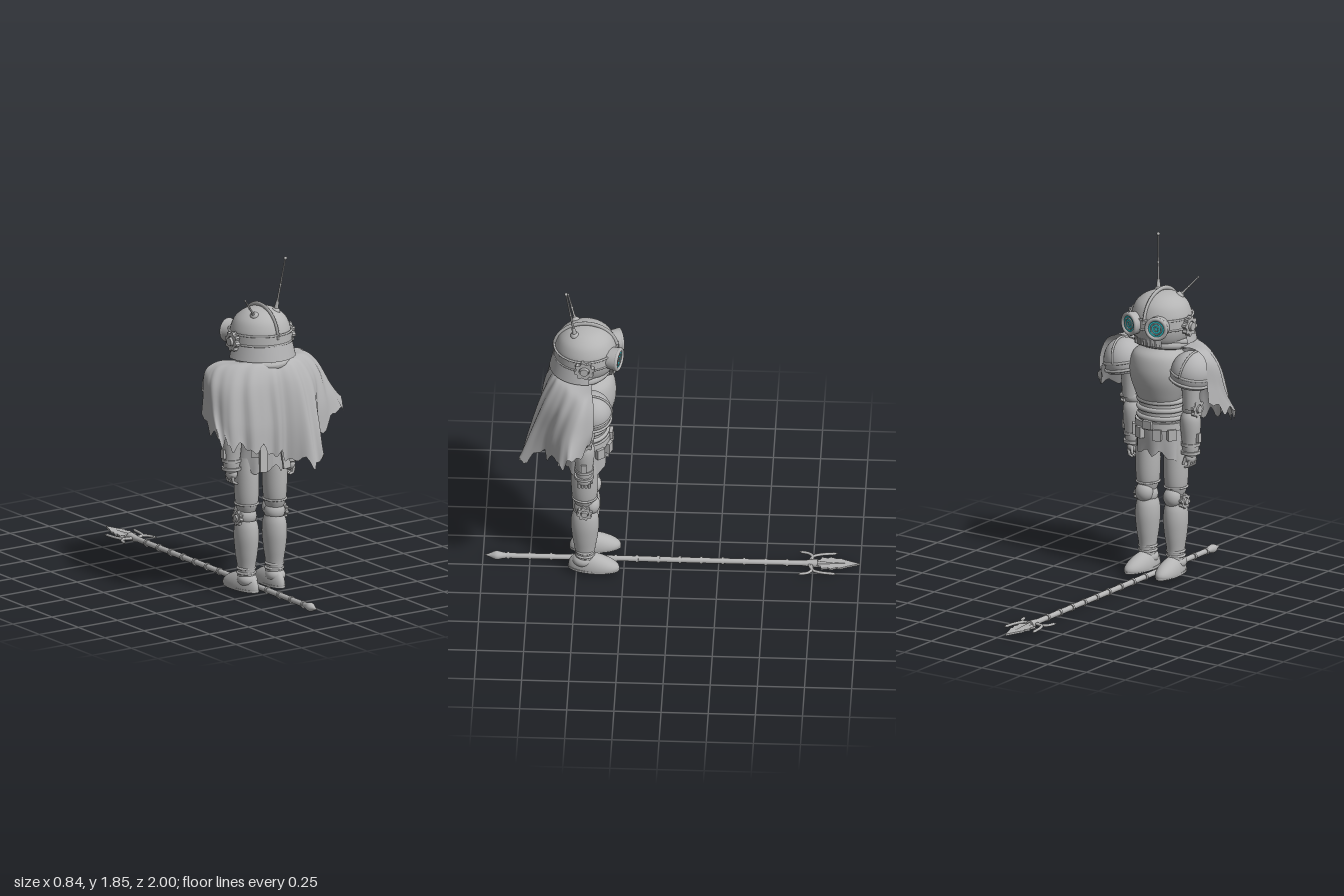
import * as THREE from 'three';

const metal = new THREE.MeshStandardMaterial({ color: 0xb4b4b4 });
metal.name = 'grey metal';
const cloth = new THREE.MeshStandardMaterial({ color: 0xb4b4b5, side: THREE.DoubleSide });
cloth.name = 'grey cloth';
const glow = new THREE.MeshStandardMaterial({ color: 0x2cb8c0 });
glow.name = 'cyan glow';

const V = (x, y, z) => new THREE.Vector3(x, y, z);

function add(parent, name, geo, pos = [0, 0, 0], rot = [0, 0, 0], scale = [1, 1, 1], mat = metal) {
  const m = new THREE.Mesh(geo, mat);
  m.name = name;
  m.position.set(...pos);
  m.rotation.set(...rot);
  m.scale.set(...scale);
  parent.add(m);
  return m;
}
function group(parent, name, pos = [0, 0, 0], rot = [0, 0, 0]) {
  const g = new THREE.Group();
  g.name = name;
  g.position.set(...pos);
  g.rotation.set(...rot);
  parent.add(g);
  return g;
}
// smooth turned form through [radius, height] pairs
function lathe(pts, seg = 36, start = 0, len = Math.PI * 2) {
  const c = new THREE.SplineCurve(pts.map(p => new THREE.Vector2(...p)));
  return new THREE.LatheGeometry(c.getPoints(pts.length * 4).map(p => (p.x = Math.max(p.x, 0), p)), seg, start, len);
}
const ring = (r, t) => new THREE.TorusGeometry(r, t, 8, 36).rotateX(Math.PI / 2);
const ball = r => new THREE.SphereGeometry(r, 24, 16);
const cyl = (a, b, h, s = 24) => new THREE.CylinderGeometry(a, b, h, s);
function rod(parent, name, a, b, r0, r1) {
  const m = add(parent, name, cyl(r1, r0, a.distanceTo(b), 10));
  m.position.copy(a).lerp(b, 0.5);
  m.quaternion.setFromUnitVectors(V(0, 1, 0), b.clone().sub(a).normalize());
}
// toothed wheel turning about the x axis, with a round hub
function gear(parent, name, pos, r, side, thick = 0.02) {
  const s = new THREE.Shape(), n = 8;
  for (let i = 0; i < n * 4; i++) {
    const a = (i + 0.5) / (n * 4) * Math.PI * 2, q = i % 4 < 2 ? r : r * 0.8;
    i ? s.lineTo(Math.cos(a) * q, Math.sin(a) * q) : s.moveTo(Math.cos(a) * q, Math.sin(a) * q);
  }
  const hole = new THREE.Path();
  hole.absarc(0, 0, r * 0.5, 0, Math.PI * 2, true);
  s.holes.push(hole);
  const g = group(parent, name, pos);
  const geo = new THREE.ExtrudeGeometry(s, { depth: thick, bevelEnabled: false }).translate(0, 0, -thick / 2).rotateY(Math.PI / 2);
  add(g, name + 'Wheel', geo);
  add(g, name + 'Hub', cyl(r * 0.4, r * 0.5, thick * 1.5).rotateZ(-side * Math.PI / 2), [side * thick * 0.2, 0, 0]);
}

function buildHead(robot) {
  const h = group(robot, 'head');
  add(h, 'jaw', lathe([[0, 1.275], [0.09, 1.285], [0.135, 1.32], [0.155, 1.37], [0.16, 1.42]]), [0, 0, -0.005]);
  add(h, 'dome', lathe([[0.163, 1.43], [0.158, 1.47], [0.135, 1.52], [0.09, 1.557], [0.04, 1.572], [0, 1.575]]));
  add(h, 'headband', cyl(0.168, 0.17, 0.055, 40), [0, 1.425, 0]);
  for (const y of [1.398, 1.452]) add(h, 'bandTrim', ring(0.168, 0.006), [0, y, 0]);
  add(h, 'neckGuard', new THREE.LatheGeometry([[0.192, 1.315], [0.186, 1.34], [0.172, 1.4]].map(p => new THREE.Vector2(...p)), 32, -1.7, 3.4), [0, 0, 0], [0, 0, 0], [0.96, 1, 1], cloth);
  add(h, 'crest', new THREE.TorusGeometry(0.157, 0.012, 8, 40, Math.PI).rotateY(Math.PI / 2), [0, 1.43, 0], [0, 0, 0], [0.65, 1, 1.05]);
  // mouth grille
  add(h, 'mouthPlate', new THREE.LatheGeometry([[0.151, 1.305], [0.158, 1.35]].map(p => new THREE.Vector2(...p)), 16, Math.PI - 0.6, 1.2), [0, 0, 0], [0, 0, 0], [1, 1, 1], cloth);
  for (let i = -3; i <= 3; i++) {
    const a = i * 0.16;
    add(h, 'grilleBar', new THREE.BoxGeometry(0.014, 0.035, 0.014), [Math.sin(a) * 0.154, 1.326, -Math.cos(a) * 0.154], [0, -a, 0]);
  }
  for (const s of [-1, 1]) {
    // goggle: housing, rims and glowing lens, looking towards -z
    const g = group(h, 'goggle', [s * 0.076, 1.42, -0.143], [0, -s * 0.3, 0]);
    add(g, 'goggleHousing', cyl(0.056, 0.064, 0.075, 32).rotateX(Math.PI / 2));
    add(g, 'goggleRim', new THREE.TorusGeometry(0.054, 0.011, 10, 36), [0, 0, -0.037]);
    add(g, 'lens', new THREE.CircleGeometry(0.044, 32).rotateY(Math.PI), [0, 0, -0.039], [0, 0, 0], [1, 1, 1], glow);
    add(g, 'lensRing', new THREE.TorusGeometry(0.03, 0.004, 6, 28), [0, 0, -0.039]);
    add(g, 'lensPupil', new THREE.TorusGeometry(0.012, 0.003, 6, 20), [0, 0, -0.039]);
    gear(h, 'earGear', [s * 0.178, 1.41, 0], 0.055, s, 0.026);
    add(h, 'earCap', ball(0.02), [s * 0.193, 1.41, 0], [0, 0, 0], [0.5, 1, 1]);
  }
  // antennas
  for (const [a, b, r] of [[V(-0.075, 1.545, 0.055), V(-0.165, 1.652, 0.1), 0.006], [V(0.06, 1.55, 0.055), V(0.092, 1.848, 0.1), 0.009]]) {
    add(h, 'antennaBase', ball(0.024), a.toArray());
    rod(h, 'antennaSocket', a, a.clone().lerp(b, 0.2), 0.015, 0.008);
    rod(h, 'antennaRod', a, b, 0.006, 0.004);
    add(h, 'antennaJoint', ball(0.007), a.clone().lerp(b, 0.5).toArray());
    add(h, 'antennaTip', ball(r), b.toArray());
  }
}

function buildTorso(robot) {
  const t = group(robot, 'torso');
  add(t, 'chest', lathe([[0.11, 0.98], [0.128, 1.02], [0.155, 1.1], [0.16, 1.17], [0.14, 1.24], [0.09, 1.28], [0.07, 1.31]]), [0, 0, -0.025], [0, 0, 0], [1.04, 1, 0.86]);
  add(t, 'waist', cyl(0.115, 0.122, 0.16, 36), [0, 0.93, -0.005], [0, 0, 0], [1.06, 1, 0.92]);
  for (const y of [0.895, 0.94, 0.985]) add(t, 'waistRing', ring(0.117, 0.014), [0, y, -0.005], [0, 0, 0], [1.06, 1, 0.94]);
  add(t, 'belt', cyl(0.133, 0.135, 0.04, 36), [0, 0.855, -0.005], [0, 0, 0], [1.08, 1, 0.95]);
  add(t, 'buckle', new THREE.BoxGeometry(0.055, 0.045, 0.02), [0, 0.865, -0.136]);
  for (const s of [-1, 1]) for (const a of [0.75, 2.2, 2.75]) {
    add(t, 'pouch', new THREE.BoxGeometry(0.045, 0.06, 0.03), [s * Math.sin(a) * 0.145, 0.815, Math.cos(a) * 0.135], [0, s * a, 0]);
  }
  add(t, 'pelvis', ball(0.12), [0, 0.77, 0], [0, 0, 0], [1.05, 0.7, 0.85]);
  // tattered skirt, longer at the sides
  const sk = new THREE.CylinderGeometry(0.13, 0.125, 1, 48, 6, true), p = sk.attributes.position;
  for (let i = 0; i < p.count; i++) {
    const x = p.getX(i), z = p.getZ(i), a = Math.atan2(x, z), v = 0.5 - p.getY(i);
    const hem = 0.71 - 0.05 * Math.sin(a) ** 2 + 0.012 * Math.sin(a * 11) + 0.01 * Math.sin(a * 7 + 1);
    const f = 1 + v * 0.05 * Math.sin(a * 8);
    p.setXYZ(i, x * f * (1.08 + 0.06 * v), 0.85 + (hem - 0.85) * v, z * f);
  }
  sk.computeVertexNormals();
  add(t, 'skirt', sk, [0, 0, 0], [0, 0, 0], [1, 1, 0.94], cloth);
  for (const s of [-1, 1]) add(t, 'backStrap', new THREE.BoxGeometry(0.045, 0.15, 0.012), [s * 0.07, 0.78, 0.13], [-0.12, 0, s * 0.08]);
  // rolled scarf around the neck
  add(t, 'scarf', ring(0.125, 0.032), [0, 1.295, 0.015], [0.12, 0, 0], [1, 0.8, 1]);
  add(t, 'scarfFold', ring(0.135, 0.02), [0, 1.315, 0.025], [0.22, 0, 0.04]);
}

function buildArm(robot, s) {
  const a = group(robot, s > 0 ? 'leftArm' : 'rightArm', [s * 0.185, 0, 0]);
  add(a, 'pauldron', new THREE.SphereGeometry(0.112, 32, 20, 0, Math.PI * 2, 0, 2.1), [s * 0.03, 1.165, -0.035], [0, 0, -s * 0.2], [1, 1.08, 1], cloth);
  for (const y of [1.125, 1.165]) add(a, 'pauldronTrim', ring(0.109, 0.008), [s * (0.03 + (y - 1.165) * 0.2), y, -0.035], [0, 0, -s * 0.2]);
  add(a, 'pauldronRidge', new THREE.TorusGeometry(0.114, 0.006, 8, 32, Math.PI).rotateY(Math.PI / 2), [s * 0.03, 1.165, -0.035], [0, 0, -s * 0.2], [1, 1.08, 1]);
  add(a, 'upperArm', cyl(0.055, 0.043, 0.18), [s * 0.01, 1.05, -0.01]);
  add(a, 'elbow', ball(0.046), [0, 0.96, 0]);
  gear(a, 'elbowGear', [s * 0.043, 0.96, 0], 0.05, s);
  add(a, 'forearm', lathe([[0.03, 0.69], [0.042, 0.72], [0.047, 0.78], [0.055, 0.86], [0.052, 0.91], [0.035, 0.945]]));
  for (const y of [0.715, 0.76]) add(a, 'cuff', cyl(0.052, 0.052, 0.016), [0, y, 0]);
  add(a, 'cuffBox', new THREE.BoxGeometry(0.02, 0.05, 0.03), [s * 0.05, 0.8, 0]);
  add(a, 'palm', ball(0.038), [0, 0.685, 0], [0, 0, 0], [0.75, 0.9, 1]);
  for (let i = 0; i < 4; i++) {
    const z = (i - 1.5) * 0.018;
    rod(a, 'finger', V(s * 0.012, 0.675, z), V(s * 0.005, 0.64, z), 0.009, 0.008);
    rod(a, 'fingertip', V(s * 0.005, 0.642, z), V(-s * 0.018, 0.632, z), 0.008, 0.006);
  }
  rod(a, 'thumb', V(-s * 0.01, 0.69, -0.03), V(-s * 0.022, 0.65, -0.038), 0.01, 0.007);
}

function buildLeg(robot, s) {
  const l = group(robot, s > 0 ? 'leftLeg' : 'rightLeg', [s * 0.09, 0, 0]);
  add(l, 'thigh', lathe([[0.048, 0.47], [0.06, 0.51], [0.066, 0.58], [0.066, 0.68], [0.06, 0.77]]), [0, 0, 0.002], [0, 0, 0], [0.97, 1, 1.08]);
  add(l, 'thighTrim', ring(0.061, 0.006), [0, 0.51, 0.002], [0, 0, 0], [1, 1, 1.05]);
  add(l, 'knee', ball(0.056), [0, 0.44, 0]);
  add(l, 'kneecap', ball(0.05), [0, 0.455, -0.035], [0, 0, 0], [1, 1.1, 0.9]);
  gear(l, 'kneeGear', [s * 0.056, 0.435, 0], 0.042, s);
  add(l, 'shin', lathe([[0.045, 0.1], [0.047, 0.16], [0.058, 0.24], [0.065, 0.32], [0.062, 0.38], [0.052, 0.42]]), [0, 0, 0], [0, 0, 0], [0.98, 1, 1.15]);
  for (const y of [0.13, 0.155]) add(l, 'ankleRing', ring(0.047, 0.007), [0, y, 0]);
  // boot: half ellipsoid sloping down towards the toe
  const b = new THREE.SphereGeometry(1, 32, 20), p = b.attributes.position;
  for (let i = 0; i < p.count; i++) {
    const x = p.getX(i), y = p.getY(i), z = p.getZ(i);
    p.setXYZ(i, x * (0.056 - 0.006 * z), y < 0 ? Math.max(y * 0.06, -0.012) : y * (0.08 + 0.028 * z), z * 0.137);
  }
  b.computeVertexNormals();
  add(l, 'boot', b, [s * 0.002, 0.048, -0.047], [0, -s * 0.08, 0]);
  add(l, 'sole', cyl(1, 1, 0.012, 32), [s * 0.002, 0.038, -0.047], [0, -s * 0.08, 0], [0.056, 1, 0.137]);
  add(l, 'heelCuff', ball(0.055), [0, 0.09, 0.008], [0, 0, 0], [0.95, 0.75, 1.1]);
}

// cape: five cross-sections from neck to hem, one front edge to the other
function buildCape(parent) {
  const rows = [
    [[-.17, 1.29, .42], [-.17, 1.3, .49], [-.14, 1.31, .55], [-.1, 1.31, .59], [-.055, 1.3, .6], [-.01, 1.31, .59], [.03, 1.31, .55], [.06, 1.3, .49], [.06, 1.29, .42]],
    [[-.3, 1.3, .41], [-.33, 1.29, .46], [-.27, 1.295, .54], [-.16, 1.29, .61], [-.055, 1.27, .63], [.05, 1.29, .62], [.14, 1.295, .56], [.22, 1.29, .47], [.19, 1.3, .41]],
    [[-.37, 1.26, .4], [-.385, 1.22, .48], [-.33, 1.2, .58], [-.2, 1.2, .65], [-.055, 1.2, .66], [.08, 1.2, .67], [.2, 1.2, .6], [.28, 1.23, .5], [.26, 1.27, .4]],
    [[-.385, 1.12, .4], [-.405, 1.07, .52], [-.36, 1.03, .62], [-.2, 1, .69], [-.05, 1, .69], [.09, 1, .74], [.19, 1.04, .65], [.34, 1.1, .54], [.31, 1.14, .4]],
    [[-.395, 1.01, .4], [-.42, .93, .6], [-.36, .89, .645], [-.2, .86, .7], [-.05, .8, .7], [.09, .77, .81], [.17, .89, .67], [.41, .99, .55], [.3, 1.02, .42]],
  ].map(r => new THREE.CatmullRomCurve3(r.map(p => V(...p))));
  const nu = 96, nv = 28, pos = [], idx = [];
  for (let i = 0; i <= nu; i++) {
    const u = i / nu, col = new THREE.CatmullRomCurve3(rows.map(r => r.getPoint(u)));
    for (let j = 0; j <= nv; j++) {
      const v = j / nv, p = col.getPoint(v);
      const out = V(p.x + 0.055, 0, p.z - 0.4).normalize();
      p.addScaledVector(out, v * Math.sin(u * Math.PI) * (0.013 * Math.sin(u * 58) + 0.007 * Math.sin(u * 97 + v)));
      p.y += v ** 8 * (0.02 * Math.sin(u * 71) + 0.016 * Math.sin(u * 133 + 2));
      pos.push(p.x, p.y, p.z);
      if (i < nu && j < nv) {
        const a = i * (nv + 1) + j, b = a + nv + 1;
        idx.push(a, a + 1, b, b, a + 1, b + 1);
      }
    }
  }
  const g = new THREE.BufferGeometry();
  g.setAttribute('position', new THREE.Float32BufferAttribute(pos, 3));
  g.setIndex(idx);
  g.computeVertexNormals();
  add(parent, 'cape', g, [0, 0, 0], [0, 0, 0], [1, 1, 1], cloth);
}

function buildSpear(parent) {
  const sp = group(parent, 'spear', [-0.055, 0.03, 0]);
  const along = g => g.rotateX(Math.PI / 2);
  add(sp, 'shaft', along(cyl(0.015, 0.015, 1.66, 16)), [0, 0, 0.09]);
  for (let i = 0; i < 14; i++) add(sp, 'shaftRing', along(cyl(0.02, 0.02, 0.014, 16)), [0, 0, 0.865 - i * 0.1137]);
  add(sp, 'buttSpike', along(lathe([[0, 0.995], [0.01, 0.965], [0.024, 0.93], [0.018, 0.895], [0.014, 0.87]].reverse(), 16)));
  add(sp, 'headSocket', along(cyl(0.015, 0.024, 0.08, 16)), [0, 0, -0.735]);
  // barbed blade lying flat, tip towards -z
  const half = [[.014, .74], [.03, .79], [.05, .795], [.042, .83], [.052, .845], [.038, .875], [.043, .892], [.028, .925], [0, 1]];
  const s = new THREE.Shape([...half, ...half.slice(0, -1).reverse().map(([x, y]) => [-x, y])].map(p => new THREE.Vector2(...p)));
  add(sp, 'blade', new THREE.ExtrudeGeometry(s, { depth: 0.01, bevelEnabled: false }).translate(0, 0, -0.005).rotateX(-Math.PI / 2));
  add(sp, 'bladeRib', along(new THREE.ConeGeometry(0.022, 0.24, 4)).rotateY(Math.PI), [0, 0, -0.88], [0, 0, 0], [1, 0.7, 1]);
  for (const k of [-1, 1]) {
    for (const pts of [[[.012, -.73], [.06, -.75], [.078, -.79], [.088, -.86]], [[.012, -.74], [.06, -.745], [.085, -.725], [.095, -.69]]]) {
      const c = new THREE.CatmullRomCurve3(pts.map(([x, z]) => V(k * x, 0, z)));
      add(sp, 'prong', new THREE.TubeGeometry(c, 16, 0.008, 8));
      const tip = c.getPoint(1);
      rod(sp, 'prongTip', tip, tip.clone().addScaledVector(c.getTangent(1), 0.02), 0.008, 0.001);
    }
  }
}

export function createModel() {
  const model = new THREE.Group();
  model.name = 'model';
  const robot = group(model, 'robot', [-0.055, 0, 0.455]);
  buildHead(robot);
  buildTorso(robot);
  for (const s of [-1, 1]) {
    buildArm(robot, s);
    buildLeg(robot, s);
  }
  buildCape(model);
  buildSpear(model);
  return model;
}
